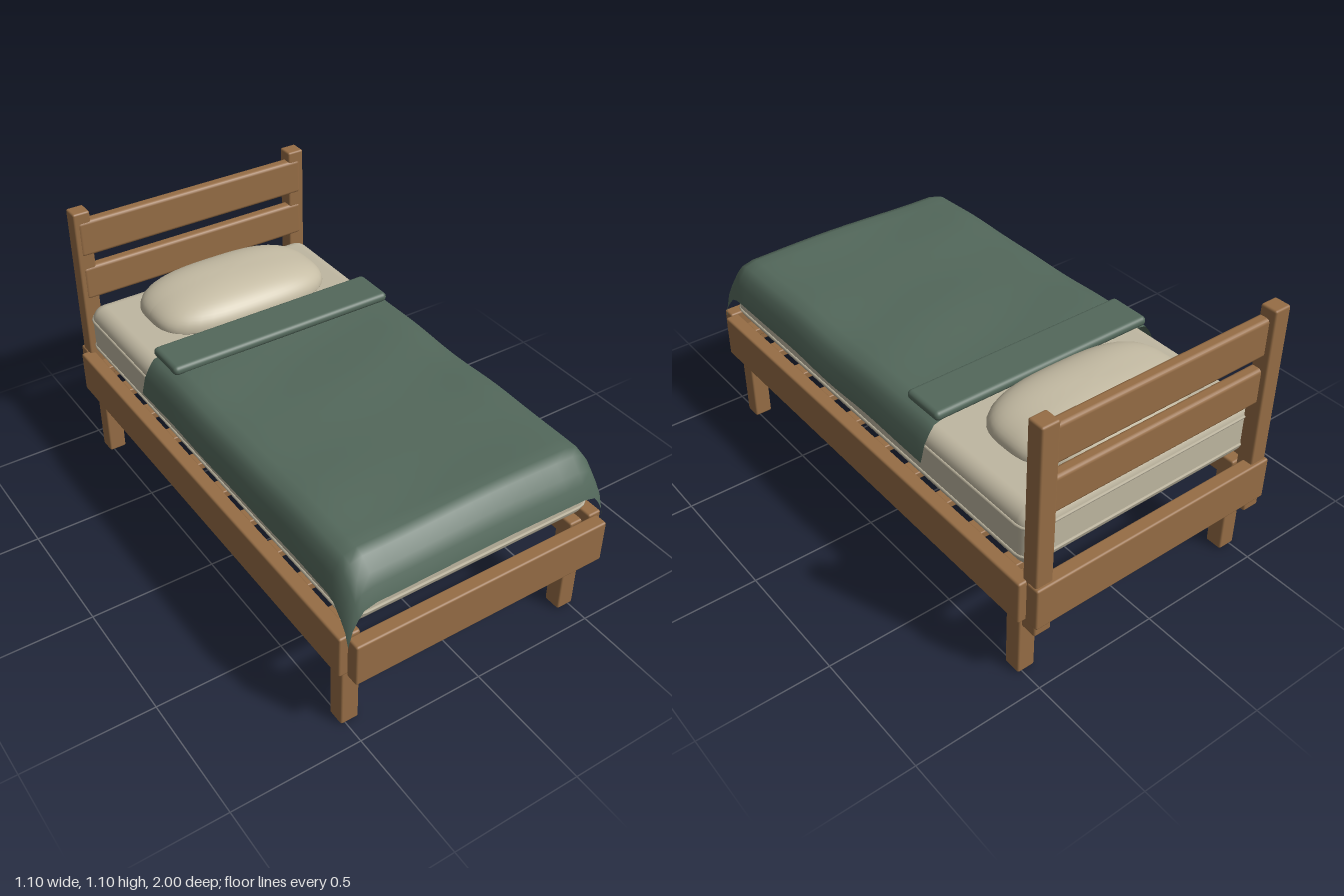
import * as THREE from 'three';
import { RoundedBoxGeometry } from 'three/addons/geometries/RoundedBoxGeometry.js';

export function createModel() {
  const bed = new THREE.Group();
  bed.name = 'bed';

  const material = (name, color, side = THREE.FrontSide) => {
    const m = new THREE.MeshStandardMaterial({ color, side });
    m.name = name;
    return m;
  };
  const wood = material('wood', 0x966d45);
  const mattressCloth = material('mattressCloth', 0xbfb7a1);
  const pillowCloth = material('pillowCloth', 0xc6bda5);
  const blanketCloth = material('blanketCloth', 0x53685b, THREE.DoubleSide);

  const add = (name, geometry, mat) => {
    const mesh = new THREE.Mesh(geometry, mat);
    mesh.name = name;
    bed.add(mesh);
  };
  // Rounded block given by its extents on each axis
  const block = (name, [x0, x1], [y0, y1], [z0, z1], radius = 0.008, mat = wood, segments = 2) => {
    const g = new RoundedBoxGeometry(x1 - x0, y1 - y0, z1 - z0, segments, radius);
    g.translate((x0 + x1) / 2, (y0 + y1) / 2, (z0 + z1) / 2);
    add(name, g, mat);
  };

  // Frame: side rails, legs and headboard posts, mirrored left and right
  for (const [label, s] of [['left', 1], ['right', -1]]) {
    const span = (a, b) => (s > 0 ? [a, b] : [-b, -a]);
    block(`${label}SideRail`, span(0.497, 0.552), [0.287, 0.46], [-0.942, 0.942]);
    block(`${label}FrontLeg`, span(0.447, 0.518), [0, 0.42], [0.84, 0.91]);
    block(`${label}BackLeg`, span(0.447, 0.518), [0, 0.42], [-0.91, -0.84]);
    block(`${label}HeadboardPost`, span(0.45, 0.52), [0.243, 1.095], [-0.987, -0.92]);
  }
  block('footRail', [-0.525, 0.525], [0.287, 0.46], [0.945, 1]);
  block('headRail', [-0.525, 0.525], [0.287, 0.46], [-1, -0.945]);

  // Headboard planks
  block('upperHeadboardPlank', [-0.505, 0.505], [0.905, 1.055], [-0.965, -0.917], 0.014);
  block('lowerHeadboardPlank', [-0.505, 0.505], [0.712, 0.856], [-0.965, -0.917], 0.014);

  // Slats under the mattress
  const slatCount = 10;
  for (let i = 0; i < slatCount; i++) {
    const z = -0.83 + (1.66 * i) / (slatCount - 1);
    block('slat', [-0.5, 0.5], [0.425, 0.455], [z - 0.035, z + 0.035], 0.005);
  }

  // Mattress with two piped seams
  block('mattress', [-0.508, 0.508], [0.458, 0.692], [-0.925, 0.93], 0.06, mattressCloth, 5);
  const cornerRadius = 0.06;
  const corners = [[1, 1], [-1, 1], [-1, -1], [1, -1]];
  for (const y of [0.515, 0.636]) {
    const loop = new THREE.CurvePath();
    const outline = [];
    corners.forEach(([sx, sz], k) => {
      const cx = sx * (0.508 - cornerRadius);
      const cz = 0.0025 + sz * (0.9275 - cornerRadius);
      for (let i = 0; i <= 6; i++) {
        const a = ((k + i / 6) * Math.PI) / 2;
        outline.push(new THREE.Vector3(cx + cornerRadius * Math.cos(a), y, cz + cornerRadius * Math.sin(a)));
      }
    });
    outline.forEach((p, i) => loop.add(new THREE.LineCurve3(p, outline[(i + 1) % outline.length])));
    add('mattressPiping', new THREE.TubeGeometry(loop, 240, 0.006, 6, true), mattressCloth);
  }

  // Pillow: a sphere pushed into a rounded-rectangle cushion, flatter below its seam
  const pillow = new THREE.SphereGeometry(1, 48, 32);
  const pp = pillow.attributes.position;
  for (let i = 0; i < pp.count; i++) {
    const x = pp.getX(i), y = pp.getY(i), z = pp.getZ(i);
    const angle = Math.atan2(z, x), c = Math.cos(angle), s = Math.sin(angle);
    const plan = Math.pow(Math.abs(c) ** 3 + Math.abs(s) ** 3, -1 / 3);
    const r = plan * Math.pow(Math.hypot(x, z), 0.8);
    const height = y > 0 ? 0.11 * Math.pow(y, 0.9) : 0.026 * y;
    pp.setXYZ(i, 0.375 * r * c, 0.726 + height, -0.637 + 0.213 * r * s);
  }
  pillow.computeVertexNormals();
  add('pillow', pillow, pillowCloth);

  // Blanket: a sheet whose sides and foot drop over the mattress edges
  const ramp = (v, stops) => {
    for (let i = 1; i < stops.length; i++) {
      const [a, da] = stops[i - 1], [b, db] = stops[i];
      if (v <= b) return da + ((db - da) * Math.max(0, v - a)) / (b - a);
    }
    return stops[stops.length - 1][1];
  };
  const sideDrop = [[0.43, 0], [0.478, 0.012], [0.5, 0.042], [0.52, 0.08], [0.536, 0.145]];
  const footDrop = [[0.85, 0], [0.885, 0.012], [0.925, 0.055], [0.95, 0.09], [0.968, 0.145]];
  const xs = sideDrop.map(([x]) => -x).reverse();
  for (let i = 1; i < 12; i++) xs.push(-0.43 + (0.86 * i) / 12);
  xs.push(...sideDrop.map(([x]) => x));
  const zs = [];
  for (let i = 0; i < 24; i++) zs.push(-0.402 + (1.252 * i) / 24);
  zs.push(...footDrop.map(([z]) => z));
  const points = [], faces = [];
  zs.forEach((z, j) => xs.forEach((x, i) => {
    const ripple = 0.004 * Math.sin(x * 7 + 1) * Math.sin(z * 9) + 0.002 * Math.sin(z * 15 + x * 4);
    points.push(x, 0.731 + ripple - ramp(Math.abs(x), sideDrop) - ramp(z, footDrop), z);
    if (i && j) {
      const d = j * xs.length + i, c = d - 1, b = d - xs.length, a = b - 1;
      faces.push(a, c, b, b, c, d);
    }
  }));
  const sheet = new THREE.BufferGeometry();
  sheet.setAttribute('position', new THREE.Float32BufferAttribute(points, 3));
  sheet.setIndex(faces);
  sheet.computeVertexNormals();
  add('blanket', sheet, blanketCloth);
  block('blanketFold', [-0.474, 0.474], [0.727, 0.765], [-0.412, -0.236], 0.018, blanketCloth, 3);

  return bed;
}
